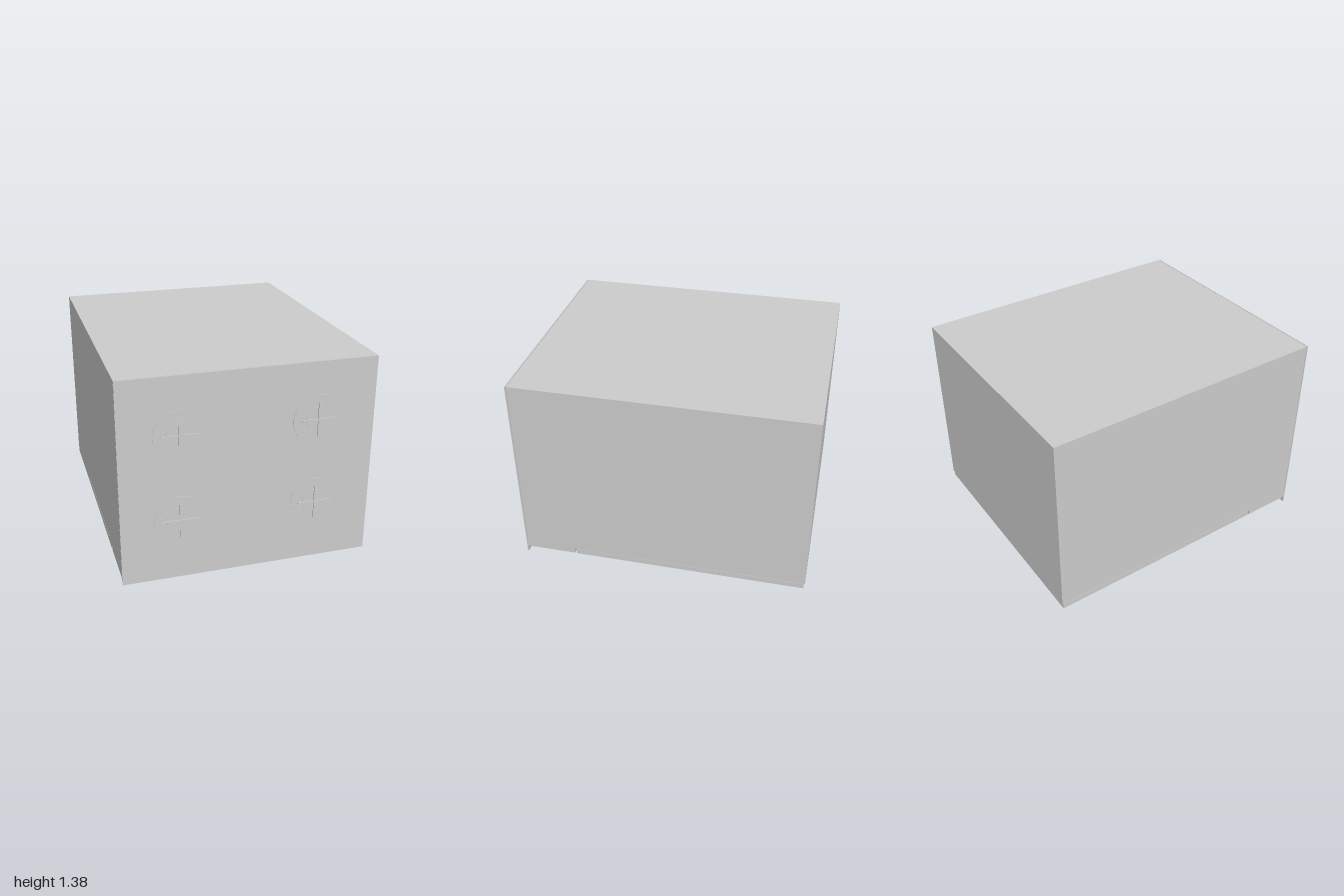
import * as THREE from 'three';

// A four-burner cooker lying with its hob facing +z and its oven door facing down.
export function createModel() {
  const model = new THREE.Group();
  const material = new THREE.MeshStandardMaterial({ color: 0xcccccc });

  const add = (name, geometry, x, y, z, parent = model) => {
    const mesh = new THREE.Mesh(geometry, material);
    mesh.name = name;
    mesh.position.set(x, y, z);
    parent.add(mesh);
    return mesh;
  };
  // Box given by its limits in y and z, centred on x = 0
  const slab = (name, width, y0, y1, z0, z1, parent) =>
    add(name, new THREE.BoxGeometry(width, y1 - y0, z1 - z0), 0, (y0 + y1) / 2, (z0 + z1) / 2, parent);
  const disc = (radius, height, sides = 48) => new THREE.CylinderGeometry(radius, radius, height, sides);

  // Cabinet and hob plate
  const W = 1.667;
  slab('cabinet', W, 0.087, 1.38, -1, 0.974);
  slab('hobPlate', W, 0, 1.38, 0.977, 0.985);
  slab('hobSeam', W - 0.02, 0.09, 1.37, 0.97, 0.98);

  // Burners: base plate, cap and crossed pan support
  for (const x of [-0.45, 0.45]) {
    for (const y of [0.417, 0.997]) {
      const burner = new THREE.Group();
      burner.name = 'burner';
      burner.position.set(x, y, 0.985);
      model.add(burner);
      add('burnerBase', disc(0.167, 0.004), 0, 0, 0.002, burner).rotation.x = Math.PI / 2;
      add('burnerCap', disc(0.085, 0.005), 0, 0, 0.0055, burner).rotation.x = Math.PI / 2;
      add('supportBarAcross', new THREE.BoxGeometry(0.23, 0.012, 0.008), 0, 0, 0.011, burner);
      add('supportBarUpright', new THREE.BoxGeometry(0.012, 0.23, 0.008), 0, 0, 0.011, burner);
    }
  }

  // Control panel with display and knobs
  slab('controlPanel', W, 0.047, 0.087, 0.622, 0.98);
  slab('display', 0.5, 0.044, 0.049, 0.75, 0.885);
  for (const x of [-0.5, -0.167, 0.167, 0.5]) {
    const knob = new THREE.Group();
    knob.name = 'knob';
    knob.position.set(x, 0, 0.785);
    model.add(knob);
    add('knobCap', disc(0.034, 0.027, 32), 0, 0.0235, 0, knob);
    add('knobStem', disc(0.026, 0.014, 32), 0, 0.042, 0, knob);
  }

  // Oven door with raised frame, window and rack lines
  const door = new THREE.Group();
  door.name = 'ovenDoor';
  model.add(door);
  slab('doorPanel', W, 0.046, 0.085, -0.993, 0.61, door);
  slab('windowFrame', 1.42, 0.043, 0.048, -0.83, 0.33, door);
  slab('window', 1.2, 0.04, 0.045, -0.7, 0.13, door);
  for (const z of [-0.48, -0.285, -0.09]) slab('rackLine', 0.96, 0.039, 0.042, z - 0.004, z + 0.004, door);

  // Door handle: round bar on two posts
  const handle = new THREE.Group();
  handle.name = 'doorHandle';
  handle.position.z = 0.475;
  door.add(handle);
  add('handleBar', disc(0.009, 1.27, 20), 0, 0.014, 0, handle).rotation.z = Math.PI / 2;
  for (const x of [-0.6, 0.6]) add('handlePost', disc(0.006, 0.034, 16), x, 0.031, 0, handle);

  return model;
}
